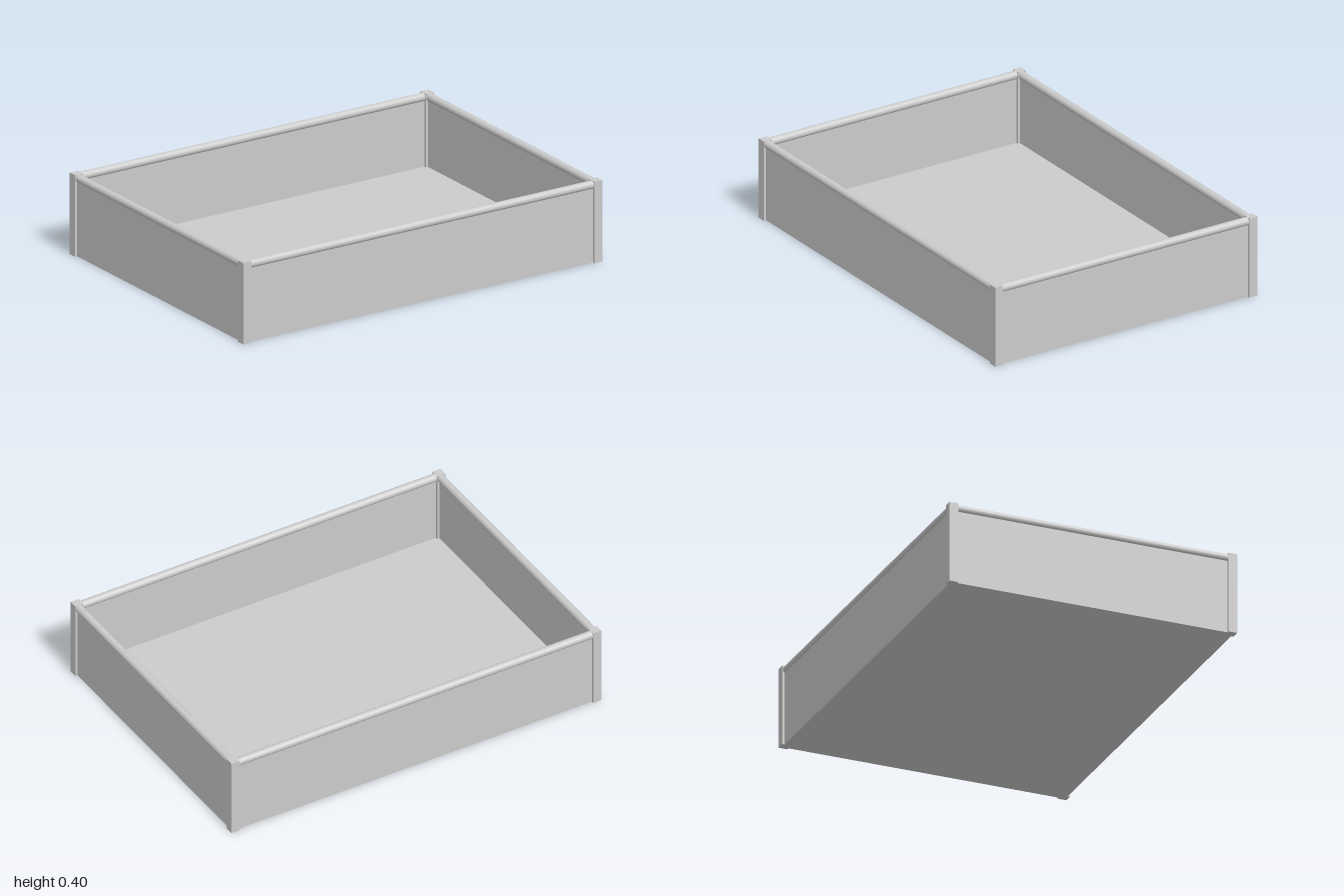
import * as THREE from 'three';

const HX = 1, HZ = 0.727;      // outer half sizes
const H = 0.403;               // post height
const POST = 0.044;            // post thickness
const RAIL_R = 0.02, RAIL_Y = H - RAIL_R;
const WALL = 0.02;             // wall thickness
const FLOOR = 0.04;            // floor thickness

export function createModel() {
  const group = new THREE.Group();
  const material = new THREE.MeshStandardMaterial({ color: 0xcccccc });

  const add = (name, geometry, x, y, z) => {
    const mesh = new THREE.Mesh(geometry, material);
    mesh.name = name;
    mesh.position.set(x, y, z);
    group.add(mesh);
    return mesh;
  };

  const cx = HX - POST / 2, cz = HZ - POST / 2;               // post centre lines
  const spanX = 2 * (HX - POST), spanZ = 2 * (HZ - POST);     // clear gaps between posts

  // Square posts at the four corners
  for (const sx of [-1, 1]) for (const sz of [-1, 1]) {
    add('cornerPost', new THREE.BoxGeometry(POST, H, POST), sx * cx, H / 2, sz * cz);
  }

  // Front and back: recessed wall with a round rail on top
  for (const [s, side] of [[1, 'front'], [-1, 'back']]) {
    add(side + 'Wall', new THREE.BoxGeometry(spanX, RAIL_Y, WALL), 0, RAIL_Y / 2, s * cz);
    add(side + 'Rail', new THREE.CylinderGeometry(RAIL_R, RAIL_R, spanX, 32), 0, RAIL_Y, s * cz)
      .rotation.z = Math.PI / 2;
  }

  // Left and right walls and rails
  for (const [s, side] of [[1, 'left'], [-1, 'right']]) {
    add(side + 'Wall', new THREE.BoxGeometry(WALL, RAIL_Y, spanZ), s * cx, RAIL_Y / 2, 0);
    add(side + 'Rail', new THREE.CylinderGeometry(RAIL_R, RAIL_R, spanZ, 32), s * cx, RAIL_Y, 0)
      .rotation.x = Math.PI / 2;
  }

  // Floor panel between the walls
  add('floor', new THREE.BoxGeometry(2 * cx - WALL, FLOOR, 2 * cz - WALL), 0, FLOOR / 2, 0);

  return group;
}
